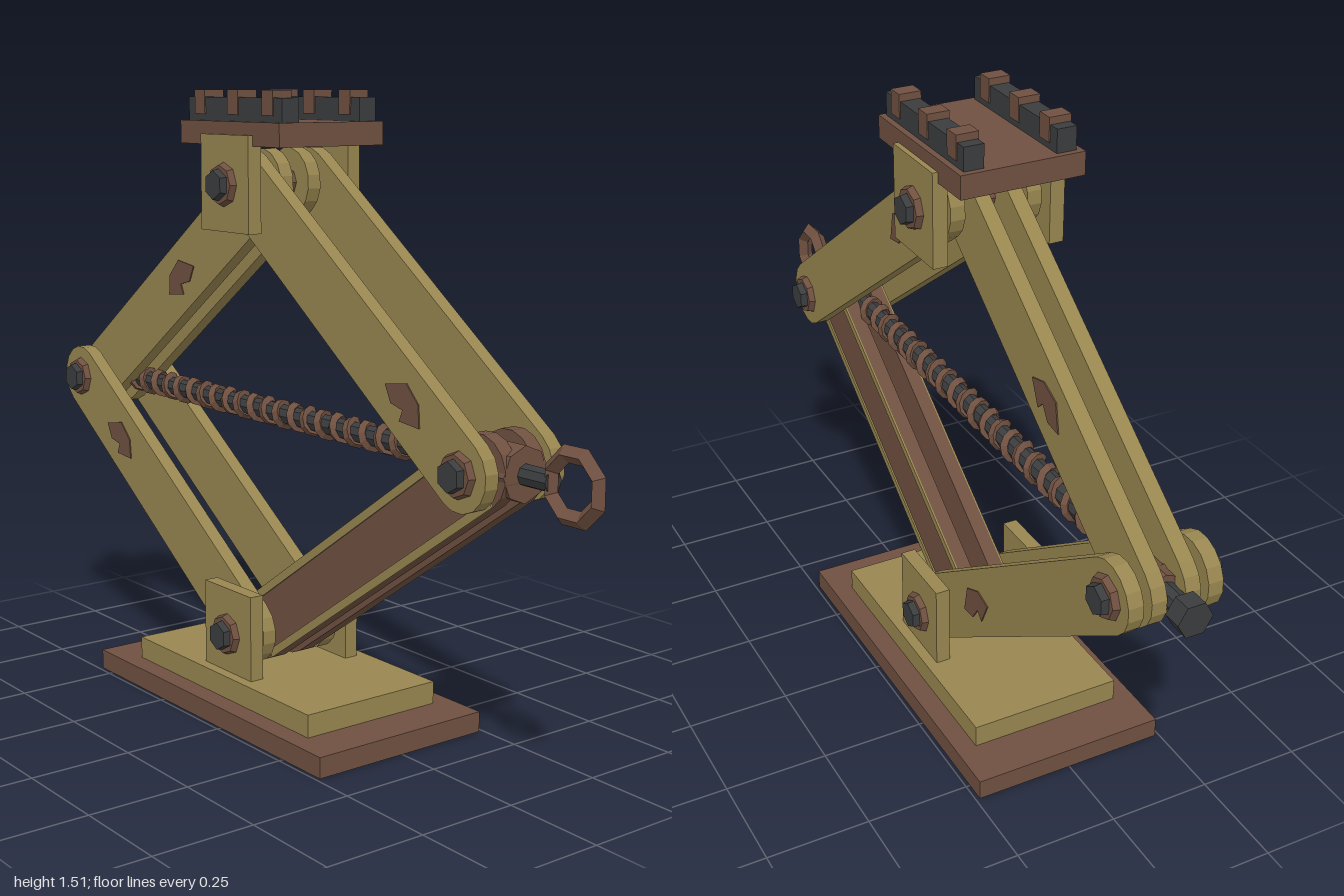
import * as THREE from 'three';

const flat = (name, color) => {
  const m = new THREE.MeshStandardMaterial({ color, flatShading: true });
  m.name = name;
  return m;
};

export function createModel() {
  const olive = flat('olive paint', 0x988650);
  const brown = flat('rusty brown', 0x6f5040);
  const dark = flat('dark steel', 0x3b3c3e);

  const root = new THREE.Group();
  root.name = 'scissorJack';

  const add = (name, geo, mat, x = 0, y = 0, z = 0, parent = root) => {
    const m = new THREE.Mesh(geo, mat);
    m.name = name;
    m.position.set(x, y, z);
    parent.add(m);
    return m;
  };
  // box given by its extents
  const box = (name, mat, x0, x1, y0, y1, z0, z1, parent) =>
    add(name, new THREE.BoxGeometry(x1 - x0, y1 - y0, z1 - z0), mat,
      (x0 + x1) / 2, (y0 + y1) / 2, (z0 + z1) / 2, parent);
  // cylinder lying along x
  const rodX = (name, mat, r, x0, x1, sides) =>
    add(name, new THREE.CylinderGeometry(r, r, x1 - x0, sides).rotateZ(Math.PI / 2), mat, (x0 + x1) / 2, SY);
  // cylinder lying along z
  const rodZ = (name, mat, r0, r1, z0, z1, sides, parent) =>
    add(name, new THREE.CylinderGeometry(r1, r0, z1 - z0, sides).rotateX(Math.PI / 2), mat, 0, 0, (z0 + z1) / 2, parent);

  // pivots
  const CX = -0.08, SY = 0.73;
  const top = [CX, 1.29], bottom = [CX, 0.2], left = [-0.85, SY], right = [0.69, SY];

  // base and saddle
  box('basePlate', brown, -0.55, 0.39, 0, 0.05, -0.24, 0.24);
  box('baseStep', olive, -0.435, 0.28, 0.05, 0.105, -0.19, 0.19);
  box('saddlePlate', brown, -0.28, 0.12, 1.38, 1.435, -0.15, 0.15);
  for (const s of [-1, 1]) {
    const z = s * 0.145;
    box('bottomBracket', olive, -0.175, 0.018, 0.1, 0.315, z - 0.018, z + 0.018);
    box('topBracket', olive, -0.175, 0.018, 1.18, 1.405, z - 0.018, z + 0.018);
    const pz = s * 0.111;
    box('gripBar', dark, -0.265, 0.11, 1.435, 1.49, pz - 0.024, pz + 0.024);
    for (const x of [-0.215, -0.08, 0.057])
      box('gripTooth', brown, x - 0.021, x + 0.021, 1.45, 1.507, pz - 0.027, pz + 0.027);
  }

  // arms: pairs of round-ended plates
  const W = 0.082, T = 0.036;
  const arrowPts = [[-0.066, -0.01], [-0.015, 0.039], [0.041, 0.029], [0.074, -0.01],
    [0.017, -0.043], [0.011, -0.016], [-0.027, -0.031]];

  const arm = (name, a, b, z, mat, { arrowAt, flip = 1, strips } = {}) => {
    const L = Math.hypot(b[0] - a[0], b[1] - a[1]);
    const g = new THREE.Group();
    g.name = name;
    g.position.set((a[0] + b[0]) / 2, (a[1] + b[1]) / 2, 0);
    g.rotation.z = Math.atan2(b[1] - a[1], b[0] - a[0]);
    root.add(g);

    const shape = new THREE.Shape();
    shape.absarc(L / 2, 0, W, -Math.PI / 2, Math.PI / 2, false);
    shape.absarc(-L / 2, 0, W, Math.PI / 2, Math.PI * 1.5, false);
    const plate = new THREE.ExtrudeGeometry(shape, { depth: T, bevelEnabled: false, curveSegments: 4 });

    for (const turn of [0, Math.PI]) {
      const side = new THREE.Group();
      side.name = 'armSide';
      side.rotation.y = turn;
      g.add(side);
      add('armPlate', plate, mat, 0, 0, z - T / 2, side);
      const face = z + T / 2;
      if (arrowAt !== undefined) {
        const s = new THREE.Shape(arrowPts.map(([u, v]) => new THREE.Vector2(u, v * flip)));
        add('arrowMark', new THREE.ExtrudeGeometry(s, { depth: 0.003, bevelEnabled: false }), brown,
          (arrowAt - 0.5) * L, 0, face, side);
      }
      if (strips)
        for (const v of [-1, 1])
          box('edgeStrip', olive, -L / 2, L / 2, v * 0.072 - 0.01, v * 0.072 + 0.01, face, face + 0.004, side);
    }
  };
  arm('upperLeftArm', top, left, 0.04, olive, { arrowAt: 0.45, flip: -1 });
  arm('lowerLeftArm', left, bottom, 0.095, olive, { arrowAt: 0.26 });
  arm('upperRightArm', top, right, 0.095, olive, { arrowAt: 0.77 });
  arm('lowerRightArm', bottom, right, 0.04, brown, { strips: true });

  // pivot bolts with washers and hex heads
  const bolt = (name, [x, y], face) => {
    const g = new THREE.Group();
    g.name = name;
    g.position.set(x, y, 0);
    root.add(g);
    rodZ('pin', brown, 0.035, 0.035, -face, face, 8, g);
    for (const turn of [0, Math.PI]) {
      const end = new THREE.Group();
      end.name = 'boltEnd';
      end.rotation.y = turn;
      g.add(end);
      rodZ('washer', brown, 0.052, 0.046, face, face + 0.015, 8, end);
      rodZ('boltHead', dark, 0.037, 0.034, face + 0.015, face + 0.032, 6, end);
    }
  };
  bolt('topBolt', top, 0.163);
  bolt('bottomBolt', bottom, 0.163);
  bolt('leftBolt', left, 0.113);
  bolt('rightBolt', right, 0.113);

  // lead screw with helical thread
  rodX('screwCore', dark, 0.024, -0.96, 0.85, 8);
  const x0 = -0.74, x1 = 0.64, turns = 25;
  class Helix extends THREE.Curve {
    getPoint(t, out = new THREE.Vector3()) {
      const a = t * turns * Math.PI * 2;
      return out.set(x0 + (x1 - x0) * t, SY + 0.025 * Math.cos(a), 0.025 * Math.sin(a));
    }
  }
  add('screwThread', new THREE.TubeGeometry(new Helix(), turns * 10, 0.012, 4), brown);
  rodX('screwEndNut', dark, 0.042, -1, -0.955, 6);
  rodX('leftTrunnion', brown, 0.04, -0.89, -0.81, 8);
  rodX('rightTrunnion', brown, 0.062, 0.645, 0.77, 8);

  // turning eye
  const eye = new THREE.TorusGeometry(0.07, 0.02, 4, 8);
  eye.rotateZ(Math.PI / 8);
  add('turningEye', eye, brown, 0.91, SY, 0);

  return root;
}
